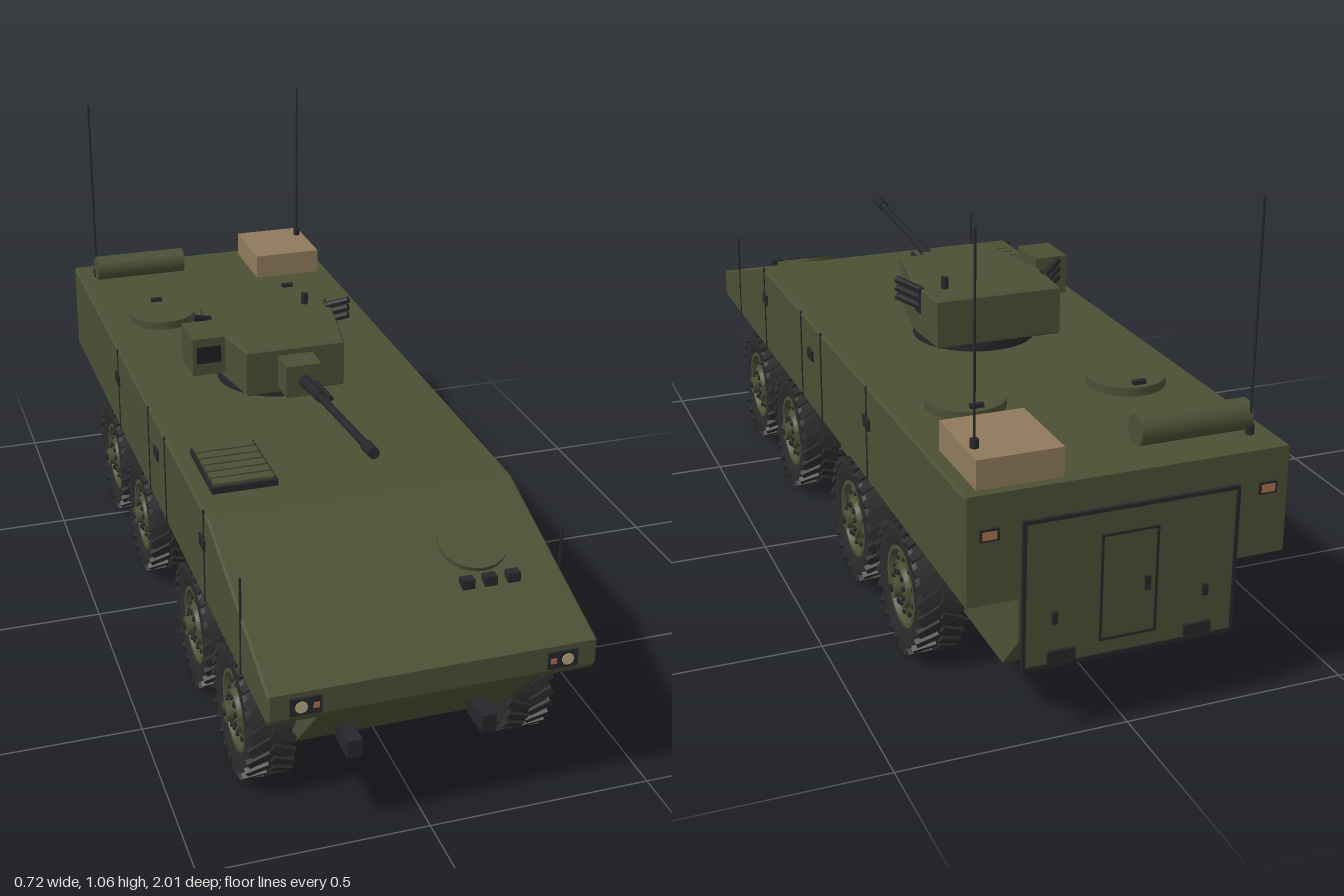
import * as THREE from 'three';
import { mergeGeometries, toCreasedNormals } from 'three/addons/utils/BufferGeometryUtils.js';

const mat = (name, color) => {
  const m = new THREE.MeshStandardMaterial({ color });
  m.name = name;
  return m;
};

export function createModel() {
  const model = new THREE.Group();
  model.name = 'armouredCarrier';
  const olive = mat('olive paint', 0x4b5035);
  const rubber = mat('tyre rubber', 0x2b2b2c);
  const metal = mat('dark metal', 0x25272a);
  const tan = mat('tan canvas', 0x8f7a5c);
  const glass = mat('dark glass', 0x1b1f22);
  const lens = mat('lamp lens', 0xb5a580);
  const amber = mat('amber lens', 0xa8704c);

  const add = (name, geo, material, x = 0, y = 0, z = 0, parent = model) => {
    const m = new THREE.Mesh(geo, material);
    m.name = name;
    m.position.set(x, y, z);
    parent.add(m);
    return m;
  };
  const box = (name, w, h, d, material, x, y, z, parent) =>
    add(name, new THREE.BoxGeometry(w, h, d), material, x, y, z, parent);
  const cyl = (r, h, n = 24, r2 = r) => new THREE.CylinderGeometry(r2, r, h, n);
  const shapeOf = pts => new THREE.Shape(pts.map(p => new THREE.Vector2(...p)));
  // Rod between two points, optionally tapered
  const rod = (name, a, b, r, material, r2 = r, n = 16) => {
    const from = new THREE.Vector3(...a), dir = new THREE.Vector3(...b).sub(from);
    const m = add(name, cyl(r, dir.length(), n, r2), material);
    m.position.copy(from).addScaledVector(dir, 0.5);
    m.quaternion.setFromUnitVectors(new THREE.Vector3(0, 1, 0), dir.normalize());
    return m;
  };
  // Side profile (z, y) extruded across the width
  const slab = (name, pts, width, bevel) => {
    const geo = new THREE.ExtrudeGeometry(shapeOf(pts), {
      depth: width - 2 * bevel, bevelEnabled: bevel > 0, bevelSize: bevel,
      bevelThickness: bevel, bevelOffset: -bevel, bevelSegments: 1 });
    geo.rotateY(-Math.PI / 2).translate(width / 2 - bevel, 0, 0);
    return add(name, geo, olive);
  };

  // Hull
  slab('upperHull', [[-0.985, 0.32], [0.99, 0.32], [1, 0.335], [1, 0.392], [0.545, 0.542], [-0.985, 0.554]], 0.7, 0.005);
  slab('lowerHull', [[-0.9, 0.13], [0.81, 0.13], [0.985, 0.325], [-0.98, 0.325], [-0.98, 0.22]], 0.47, 0);

  // Side seams and door handles
  for (const s of [-1, 1]) {
    for (const z of [0.807, 0.517, 0.153, -0.02, -0.378])
      box('sideSeam', 0.004, 0.226, 0.006, metal, s * 0.35, 0.435, z);
    for (const z of [0.507, 0.067, -0.383])
      box('sideHandle', 0.012, 0.026, 0.042, metal, s * 0.349, 0.465, z);
  }

  // Wheels
  const tyreGeo = toCreasedNormals(new THREE.LatheGeometry([
    [0.088, -0.04], [0.112, -0.05], [0.132, -0.048], [0.139, -0.04], [0.14, 0],
    [0.139, 0.04], [0.132, 0.048], [0.112, 0.05], [0.088, 0.04], [0.086, 0.03],
  ].map(p => new THREE.Vector2(...p)), 48), 0.6).rotateZ(-Math.PI / 2);
  const lugs = [];
  for (let i = 0; i < 26; i++) for (const s of [-1, 1]) {
    const lug = new THREE.BoxGeometry(0.054, 0.013, 0.017);
    lug.rotateY(s * 0.45).translate(s * 0.026, 0.1405, 0);
    lugs.push(lug.rotateX((i + (s > 0 ? 0.5 : 0)) / 26 * Math.PI * 2));
  }
  const lugGeo = mergeGeometries(lugs);
  const rimGeo = toCreasedNormals(new THREE.LatheGeometry([
    [0.001, -0.035], [0.088, -0.035], [0.091, 0.043], [0.082, 0.043], [0.076, 0.03],
    [0.05, 0.036], [0.045, 0.046], [0.001, 0.046],
  ].map(p => new THREE.Vector2(...p)), 40), 0.5).rotateZ(-Math.PI / 2);
  const bolts = [];
  for (let i = 0; i < 10; i++) {
    const a = i / 10 * Math.PI * 2;
    for (const [r, x, size] of [[0.063, 0.035, 0.005], [0.035, 0.047, 0.006]])
      bolts.push(cyl(size, 0.008, 6).rotateZ(Math.PI / 2).translate(x, r * Math.cos(a), r * Math.sin(a)));
  }
  const boltGeo = mergeGeometries(bolts);
  for (const s of [-1, 1]) for (const z of [0.69, 0.34, -0.21, -0.56]) {
    const wheel = new THREE.Group();
    wheel.name = 'wheel';
    wheel.position.set(s * 0.293, 0.148, z);
    if (s < 0) wheel.rotation.y = Math.PI;
    model.add(wheel);
    add('tyre', tyreGeo, rubber, 0, 0, 0, wheel);
    add('treadLugs', lugGeo, rubber, 0, 0, 0, wheel);
    add('rim', rimGeo, olive, 0, 0, 0, wheel);
    add('bolts', boltGeo, metal, 0, 0, 0, wheel);
    add('hubCap', cyl(0.022, 0.02, 20).rotateZ(Math.PI / 2), olive, 0.053, 0, 0, wheel);
    add('hubPin', cyl(0.009, 0.006, 12).rotateZ(Math.PI / 2), metal, 0.064, 0, 0, wheel);
    add('axle', cyl(0.03, 0.09, 16).rotateZ(Math.PI / 2), metal, -0.06, 0, 0, wheel);
  }

  // Nose: headlights and tow brackets
  for (const s of [-1, 1]) {
    box('headlightFrame', 0.066, 0.04, 0.008, metal, s * 0.273, 0.36, 1);
    add('headlight', cyl(0.013, 0.004, 20).rotateX(Math.PI / 2), lens, s * 0.283, 0.36, 1.004);
    box('turnLamp', 0.012, 0.012, 0.004, amber, s * 0.252, 0.36, 1.004);
    box('towBracket', 0.033, 0.042, 0.08, metal, s * 0.148, 0.184, 0.9);
  }

  // Driver hatch and periscopes on the sloping nose
  add('driverHatch', cyl(0.075, 0.016, 40), olive, 0.185, 0.487, 0.72).rotation.x = 0.32;
  for (const x of [0.135, 0.185, 0.237])
    box('periscope', 0.028, 0.026, 0.022, metal, x, 0.456, 0.82);

  // Engine grille
  box('grilleBase', 0.15, 0.016, 0.2, metal, -0.237, 0.55, 0.347);
  for (let i = 0; i < 6; i++)
    box('grilleSlat', 0.138, 0.008, 0.025, olive, -0.237, 0.56, 0.267 + i * 0.032);

  // Rear roof: hatches, stowage, antennas
  for (const x of [-0.19, 0.185]) {
    add('roofHatch', cyl(0.088, 0.022, 48), olive, x, 0.56, -0.555);
    box('hatchHandle', 0.03, 0.01, 0.012, metal, x, 0.575, -0.622);
  }
  add('bedroll', cyl(0.033, 0.25, 28).rotateZ(Math.PI / 2), olive, -0.18, 0.587, -0.877);
  box('stowageBox', 0.182, 0.065, 0.204, tan, 0.227, 0.584, -0.86);
  for (const [x, y] of [[-0.3, 0.55], [0.3, 0.61]]) {
    add('antennaBase', cyl(0.009, 0.025, 12), metal, x, y + 0.012, -0.905);
    add('antenna', cyl(0.0028, 1.055 - y, 8), metal, x, (1.055 + y) / 2, -0.905);
  }

  // Turret
  add('turretRing', cyl(0.145, 0.03, 48), metal, 0, 0.562, -0.125);
  const plan = [[-0.15, 0.287], [-0.16, 0.15], [-0.122, -0.055], [0.122, -0.055], [0.16, 0.15], [0.15, 0.287]];
  const turretGeo = new THREE.ExtrudeGeometry(shapeOf(plan), {
    depth: 0.107, bevelEnabled: true, bevelSize: 0.004, bevelThickness: 0.004, bevelOffset: -0.004, bevelSegments: 1 });
  add('turret', turretGeo.rotateX(-Math.PI / 2), olive, 0, 0.58, 0);
  box('mantlet', 0.086, 0.08, 0.08, olive, -0.002, 0.633, 0.085);
  rod('gunSleeve', [0, 0.633, 0.12], [0, 0.644, 0.25], 0.015, metal, 0.012);
  rod('gunBarrel', [0, 0.644, 0.24], [0, 0.674, 0.58], 0.009, metal);
  rod('muzzle', [0, 0.672, 0.56], [0, 0.677, 0.61], 0.013, metal);
  rod('coaxialGun', [0.028, 0.625, 0.12], [0.028, 0.634, 0.24], 0.006, metal);

  // Sight, periscope and smoke launchers
  box('sightHousing', 0.08, 0.094, 0.11, olive, -0.197, 0.662, -0.07);
  box('sightWindow', 0.06, 0.042, 0.006, glass, -0.197, 0.667, -0.015);
  add('turretPeriscope', cyl(0.009, 0.03, 12), metal, 0.103, 0.703, -0.205);
  for (const s of [-1, 1]) {
    box('launcherBracket', 0.012, 0.06, 0.03, metal, s * 0.155, 0.662, -0.178);
    for (let i = 0; i < 3; i++)
      rod('smokeLauncher', [s * 0.15, 0.645 + i * 0.02, -0.187], [s * 0.203, 0.669 + i * 0.02, -0.152], 0.0085, metal);
  }

  // Rear ramp with door, frame, steps and lamps
  const back = -0.987;
  box('rearRamp', 0.46, 0.32, 0.012, olive, 0, 0.325, back);
  const frame = (name, x0, x1, y0, y1, t) => {
    for (const x of [x0, x1]) box(name, t, y1 - y0 + t, 0.008, metal, x, (y0 + y1) / 2, back - 0.005);
    for (const y of [y0, y1]) box(name, x1 - x0, t, 0.008, metal, (x0 + x1) / 2, y, back - 0.005);
  };
  frame('rampFrame', -0.23, 0.23, 0.165, 0.485, 0.008);
  frame('doorFrame', -0.055, 0.065, 0.2, 0.43, 0.005);
  box('doorHandle', 0.012, 0.03, 0.01, metal, -0.035, 0.31, back - 0.007);
  for (const s of [-1, 1]) {
    box('rampLatch', 0.012, 0.025, 0.01, metal, s * 0.165, 0.27, back - 0.007);
    box('rampStep', 0.06, 0.025, 0.014, metal, s * 0.15, 0.185, back - 0.006);
    box('tailLampFrame', 0.04, 0.026, 0.006, metal, s * 0.3, 0.47, back);
    box('tailLamp', 0.03, 0.017, 0.005, amber, s * 0.3, 0.47, back - 0.002);
  }
  return model;
}
